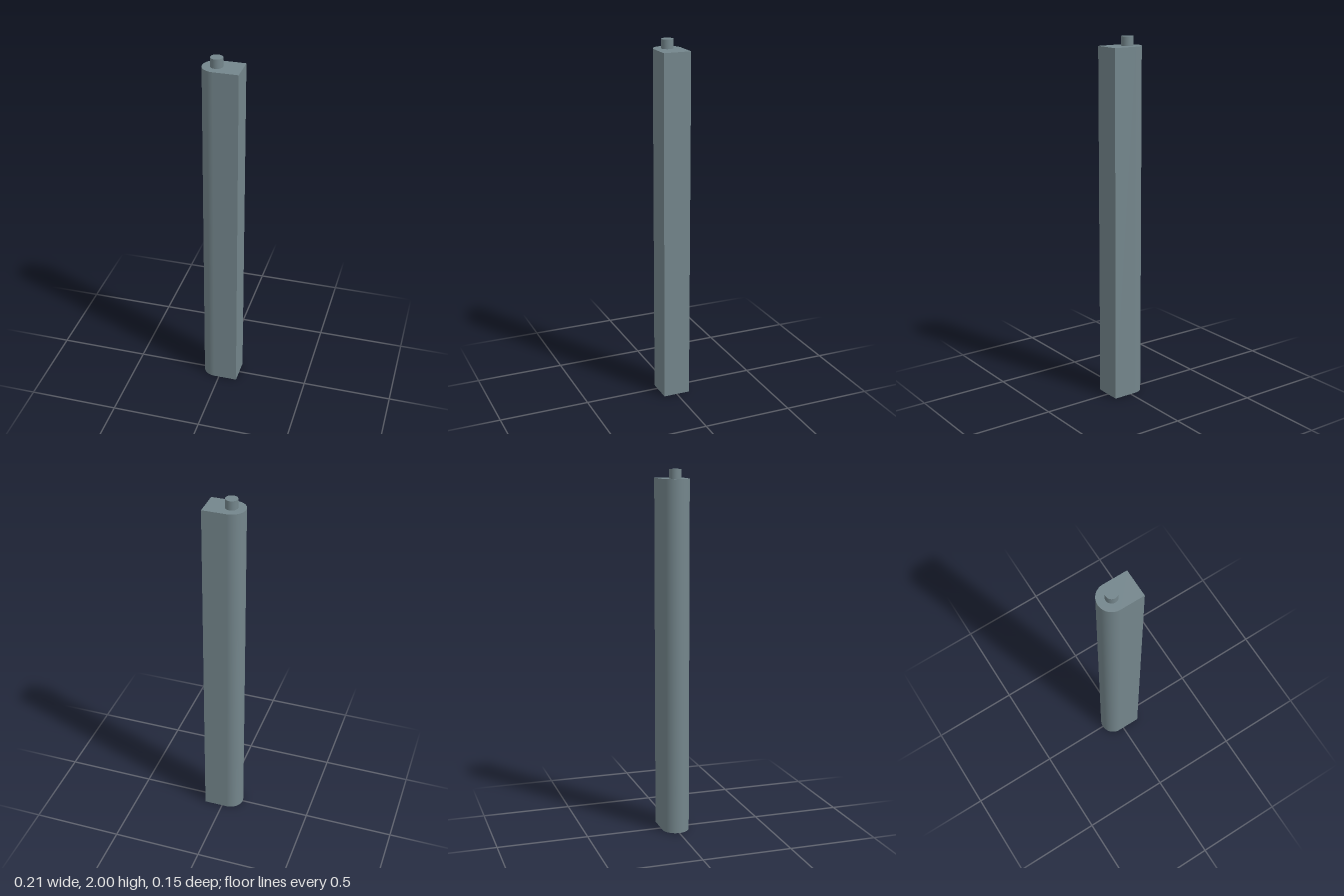
import * as THREE from 'three';

export function createModel() {
  const group = new THREE.Group();
  const slate = new THREE.MeshStandardMaterial({ color: 0x74868c });
  slate.name = 'slate grey';

  const R = 0.076, CX = -0.029, RIGHT = 0.105, H = 1.95; // body
  const PIN = 0.033, DEPTH = 0.06, SEG = 32; // pin and matching socket
  const flat = RIGHT - CX;

  const add = (name, geometry, x, y, z) => {
    const mesh = new THREE.Mesh(geometry, slate);
    mesh.name = name;
    mesh.position.set(x, y, z);
    group.add(mesh);
  };

  // D-shaped outline, round on the -x side
  const outline = () => {
    const s = new THREE.Shape();
    s.moveTo(flat, -R);
    s.lineTo(flat, R);
    s.lineTo(0, R);
    s.absarc(0, 0, R, Math.PI / 2, Math.PI * 1.5, false);
    s.closePath();
    return s;
  };

  // Body walls: rounded edge, two broad faces and the flat edge
  add('roundedEdge', new THREE.CylinderGeometry(R, R, H, SEG, 1, true, Math.PI, Math.PI), CX, H / 2, 0);
  add('frontFace', new THREE.PlaneGeometry(flat, H), CX + flat / 2, H / 2, R);
  add('backFace', new THREE.PlaneGeometry(flat, H).rotateY(Math.PI), CX + flat / 2, H / 2, -R);
  add('flatEdge', new THREE.PlaneGeometry(2 * R, H).rotateY(Math.PI / 2), RIGHT, H / 2, 0);

  // End faces, the lower one pierced by the socket
  add('topFace', new THREE.ShapeGeometry(outline(), SEG).rotateX(-Math.PI / 2), CX, H, 0);
  const pierced = outline();
  pierced.holes.push(new THREE.Path().absarc(0, 0, PIN, 0, Math.PI * 2, true));
  add('bottomFace', new THREE.ShapeGeometry(pierced, SEG).rotateX(Math.PI / 2), CX, 0, 0);

  // Socket: inward-facing wall and its ceiling
  const wall = [new THREE.Vector2(PIN, DEPTH), new THREE.Vector2(PIN, 0)];
  add('socketWall', new THREE.LatheGeometry(wall, SEG), CX, 0, 0);
  add('socketCeiling', new THREE.CircleGeometry(PIN, SEG).rotateX(Math.PI / 2), CX, DEPTH, 0);

  // Locating pin on top
  add('pin', new THREE.CylinderGeometry(PIN, PIN, 2 - H, SEG), CX, (2 + H) / 2, 0);

  return group;
}
